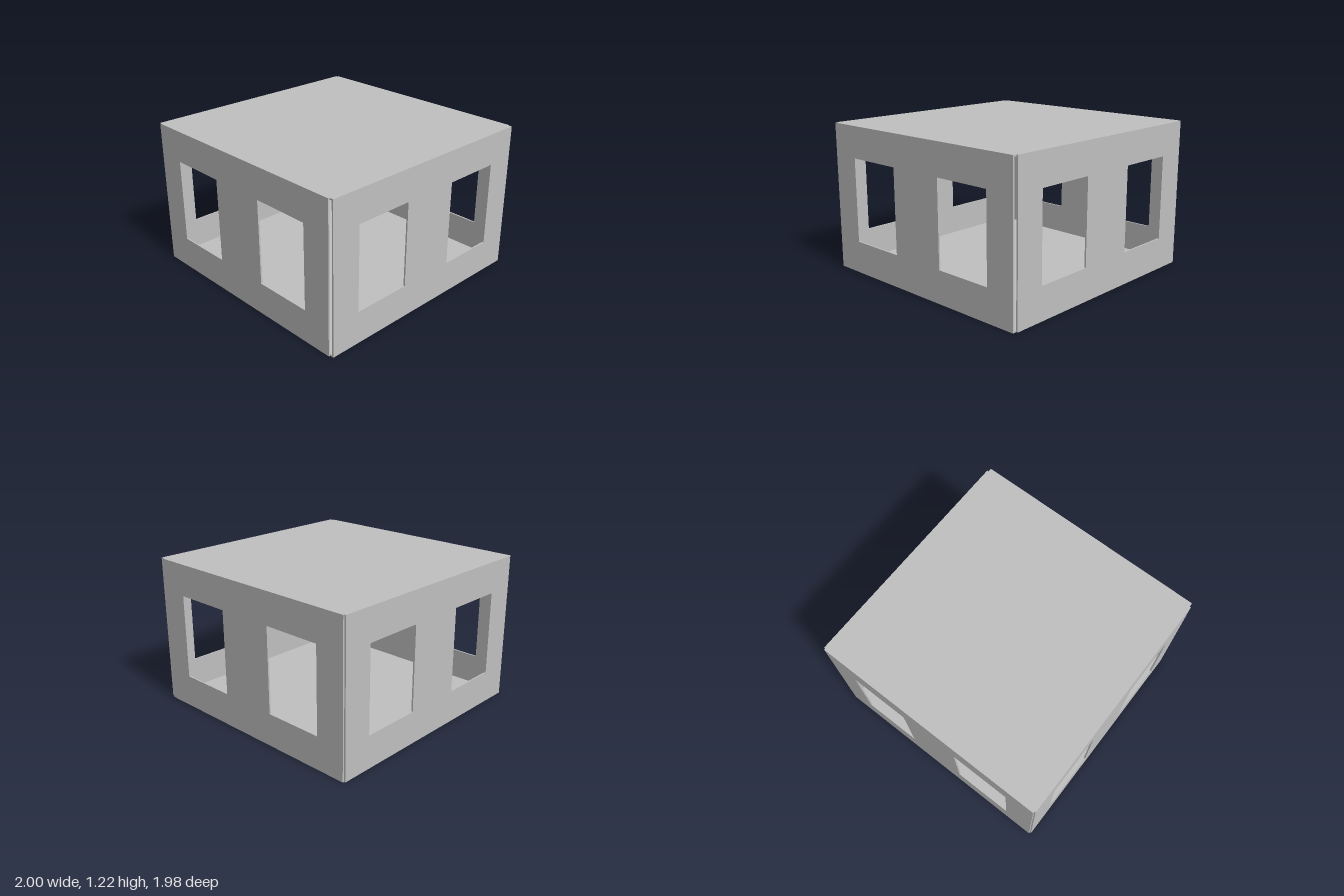
import * as THREE from 'three';

const T = 0.013;      // panel thickness
const H = 1.215;      // overall height
const W = 1.955;      // panel length

export function createModel() {
  const model = new THREE.Group();
  model.name = 'windowedBox';
  const grey = new THREE.MeshStandardMaterial({ color: 0xc0c0c0 });
  grey.name = 'plain grey';

  // wall panel with two window openings, centred on x and z, standing on y = 0
  const shape = new THREE.Shape();
  shape.moveTo(-W / 2, 0);
  shape.lineTo(W / 2, 0);
  shape.lineTo(W / 2, H);
  shape.lineTo(-W / 2, H);
  shape.closePath();
  for (const cx of [-0.49, 0.49]) {
    const x0 = cx - 0.245, x1 = cx + 0.245, y0 = 0.265, y1 = 0.955;
    const hole = new THREE.Path();
    hole.moveTo(x0, y0);
    hole.lineTo(x0, y1);
    hole.lineTo(x1, y1);
    hole.lineTo(x1, y0);
    hole.closePath();
    shape.holes.push(hole);
  }
  const wallGeo = new THREE.ExtrudeGeometry(shape, { depth: T, bevelEnabled: false });
  wallGeo.translate(0, 0, -T / 2);

  const addWall = (name, x, z, turn) => {
    const wall = new THREE.Mesh(wallGeo, grey);
    wall.name = name;
    wall.position.set(x, 0, z);
    wall.rotation.y = turn;
    model.add(wall);
  };
  // front and back stop short of the +x wall, leaving a narrow corner slit
  const zWall = 0.99 - T / 2, xWall = 1 - T / 2;
  addWall('frontWall', -0.01, zWall, 0);
  addWall('backWall', -0.01, -zWall, Math.PI);
  addWall('leftWall', xWall, 0, Math.PI / 2);
  addWall('rightWall', -xWall, 0, -Math.PI / 2);

  // floor and roof panels fitted between the walls
  const slabGeo = new THREE.BoxGeometry(2 - 2 * T, T, W);
  for (const [name, y] of [['floor', T / 2], ['roof', H - T / 2]]) {
    const slab = new THREE.Mesh(slabGeo, grey);
    slab.name = name;
    slab.position.y = y;
    model.add(slab);
  }
  return model;
}
